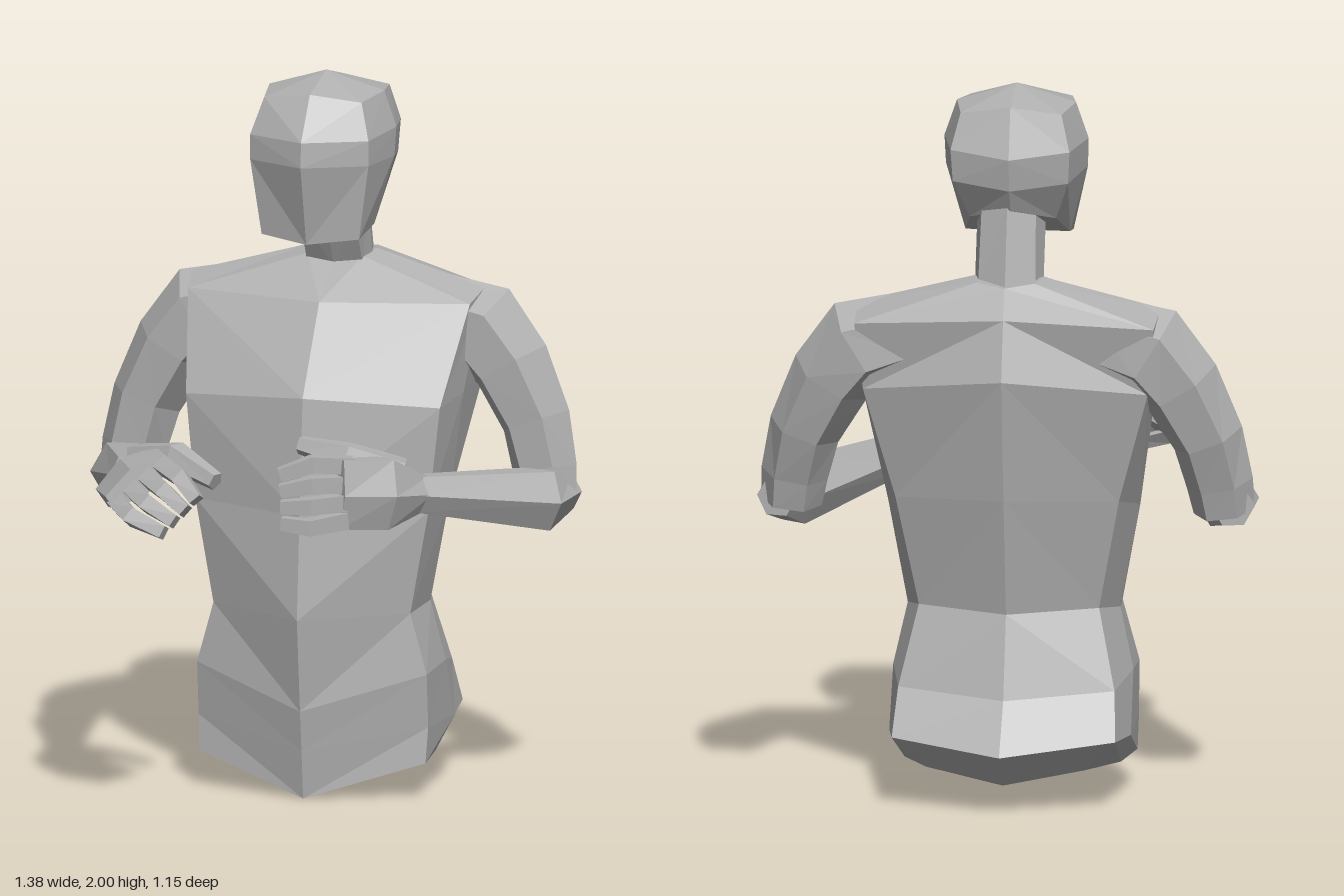
import * as THREE from 'three';

const V = (x, y, z) => new THREE.Vector3(x, y, z);
const gray = new THREE.MeshStandardMaterial({ color: 0xb0b0b0, flatShading: true });
gray.name = 'plain gray';

// Skin a stack of closed rings; both ends are closed with fans
function loft(name, rings, endCentres = []) {
  const pos = [];
  const tri = (...pts) => pts.forEach((p) => pos.push(p.x, p.y, p.z));
  const mean = (r) => r.reduce((s, p) => s.add(p), V(0, 0, 0)).divideScalar(r.length);
  const n = rings[0].length, first = rings[0], last = rings[rings.length - 1];
  const c0 = endCentres[0] || mean(first), c1 = endCentres[1] || mean(last);
  for (let j = 0; j < n; j++) {
    const k = (j + 1) % n;
    for (let i = 0; i < rings.length - 1; i++) {
      const [a, b, c, d] = [rings[i][j], rings[i][k], rings[i + 1][k], rings[i + 1][j]];
      // Diagonals mirror from one half to the other
      if (j < n / 2) { tri(a, b, c); tri(a, c, d); } else { tri(a, b, d); tri(b, c, d); }
    }
    tri(c0, first[k], first[j]);
    tri(c1, last[j], last[k]);
  }
  const g = new THREE.BufferGeometry();
  g.setAttribute('position', new THREE.Float32BufferAttribute(pos, 3));
  g.computeVertexNormals();
  const mesh = new THREE.Mesh(g, gray);
  mesh.name = name;
  return mesh;
}

// Half section (front middle to back middle) completed by mirroring
function fullRing(half) {
  const left = half.map((p) => V(...p));
  const right = half.slice(1, -1).reverse().map(([x, y, z]) => V(-x, y, z));
  return [...left, ...right];
}

// Tapered limb: path of [x, y, z, halfWidth, halfDepth], width lies along wide
function limb(name, path, wide, sides = 6) {
  const pts = path.map((p) => V(p[0], p[1], p[2]));
  const rings = path.map(([, , , w, h = w], i) => {
    const t = pts[Math.min(i + 1, pts.length - 1)].clone().sub(pts[Math.max(i - 1, 0)]).normalize();
    const u = wide.clone().addScaledVector(t, -wide.dot(t)).normalize();
    const v = t.clone().cross(u);
    return Array.from({ length: sides }, (_, k) => {
      const a = ((k + 0.5) / sides) * Math.PI * 2;
      return pts[i].clone().addScaledVector(u, w * Math.cos(a)).addScaledVector(v, h * Math.sin(a));
    });
  });
  return loft(name, rings);
}

// Four fingers blended between the index and the little finger
function fingers(index, little, wide) {
  const g = new THREE.Group();
  g.name = 'fingers';
  const radii = [0.033, 0.031, 0.025];
  for (let f = 0; f < 4; f++) {
    const path = index.map((p, i) => [...p.map((c, a) => c + (little[i][a] - c) * f / 3), radii[i]]);
    g.add(limb('finger', path, wide, 4));
  }
  return g;
}

// Shoulder to elbow
function upperArm(side) {
  const path = [
    [0.26, 1.32, -0.32, 0.13, 0.11], [0.405, 1.28, -0.325, 0.145, 0.13],
    [0.485, 1.18, -0.315, 0.135, 0.115], [0.56, 1.03, -0.30, 0.11, 0.10],
    [0.59, 0.90, -0.28, 0.085, 0.093], [0.60, 0.82, -0.265, 0.08, 0.085],
  ].map(([x, ...r]) => [side * x - 0.005, ...r]);
  return limb('upperArm', path, V(0, 0, 1));
}

export function createModel() {
  const model = new THREE.Group();
  model.name = 'bust';

  // Torso, from hips to neck base
  const torso = loft('torso', [
    [[0, 0, 0.04], [0.325, 0.10, -0.05], [0.30, 0.10, -0.23], [0.22, 0.11, -0.41], [0, 0.075, -0.475]],
    [[0, 0.135, 0.055], [0.33, 0.20, -0.06], [0.335, 0.19, -0.30], [0.31, 0.20, -0.46], [0, 0.17, -0.568]],
    [[0, 0.25, 0.07], [0.33, 0.35, -0.045], [0.333, 0.36, -0.22], [0.30, 0.33, -0.39], [0, 0.31, -0.465]],
    [[0, 0.51, 0.10], [0.283, 0.52, -0.045], [0.295, 0.53, -0.20], [0.25, 0.55, -0.325], [0, 0.54, -0.40]],
    [[0, 0.80, 0.075], [0.335, 0.81, -0.045], [0.35, 0.82, -0.20], [0.31, 0.86, -0.37], [0, 0.87, -0.46]],
    [[0, 1.125, 0.045], [0.365, 1.10, -0.055], [0.39, 1.12, -0.20], [0.395, 1.17, -0.415], [0, 1.215, -0.515]],
    [[0, 1.365, -0.115], [0.405, 1.365, -0.21], [0.42, 1.395, -0.31], [0.415, 1.36, -0.45], [0, 1.38, -0.47]],
    [[0, 1.455, -0.25], [0.08, 1.47, -0.27], [0.10, 1.48, -0.34], [0.08, 1.475, -0.41], [0, 1.465, -0.44]],
  ].map(fullRing), [V(0, 0.03, -0.225)]);

  // Neck, leaning forward under the skull
  const neck = loft('neck', [
    [[0, 1.43, -0.26], [0.08, 1.44, -0.27], [0.095, 1.45, -0.32], [0.08, 1.45, -0.38], [0, 1.45, -0.43]],
    [[0, 1.60, -0.18], [0.08, 1.60, -0.19], [0.095, 1.64, -0.26], [0.075, 1.68, -0.33], [0, 1.68, -0.37]],
  ].map(fullRing));

  // Head, from jaw to crown
  const head = loft('head', [
    [[0, 1.545, -0.02], [0.14, 1.56, -0.06], [0.145, 1.58, -0.19], [0.12, 1.64, -0.31], [0, 1.67, -0.37]],
    [[0, 1.77, 0.035], [0.17, 1.77, -0.05], [0.197, 1.77, -0.21], [0.16, 1.75, -0.37], [0, 1.73, -0.40]],
    [[0, 1.84, 0.03], [0.17, 1.84, -0.05], [0.20, 1.85, -0.22], [0.165, 1.84, -0.38], [0, 1.82, -0.415]],
    [[0, 1.96, -0.055], [0.14, 1.94, -0.085], [0.165, 1.95, -0.22], [0.14, 1.94, -0.355], [0, 1.96, -0.37]],
  ].map(fullRing), [V(0, 1.58, -0.18), V(0, 2, -0.215)]);

  torso.position.x = neck.position.x = -0.015;
  head.position.x = -0.024;
  model.add(torso, neck, head);

  // Left arm: forearm across the body, palm upright
  const leftArm = new THREE.Group();
  leftArm.name = 'leftArm';
  const up = V(0, 1, 0);
  leftArm.add(
    upperArm(1),
    limb('forearm', [[0.63, 0.84, -0.31, 0.06], [0.60, 0.83, -0.21, 0.095, 0.085], [0.325, 0.89, 0.10, 0.058, 0.048]], up),
    limb('palm', [[0.335, 0.89, 0.08, 0.055, 0.05], [0.265, 0.905, 0.19, 0.113, 0.062], [0.16, 0.915, 0.285, 0.112, 0.042]], up),
    limb('thumb', [[0.29, 0.94, 0.13, 0.06], [0.15, 0.995, 0.165, 0.045], [0.01, 1.02, 0.155, 0.027]], up, 5),
    fingers([[0.19, 0.99, 0.25], [0.09, 1.0, 0.305], [0.005, 0.97, 0.335]],
      [[0.18, 0.845, 0.295], [0.10, 0.835, 0.375], [0.025, 0.845, 0.385]], up),
  );

  // Right arm: reaching forward, palm turned down
  const rightArm = new THREE.Group();
  rightArm.name = 'rightArm';
  const across = V(-0.14, -0.10, 0.03);
  rightArm.add(
    upperArm(-1),
    limb('forearm', [[-0.635, 0.84, -0.31, 0.06], [-0.605, 0.84, -0.20, 0.09, 0.09], [-0.46, 0.925, 0.24, 0.055, 0.048]], up),
    limb('palm', [[-0.465, 0.92, 0.21, 0.052, 0.048], [-0.42, 0.94, 0.33, 0.118, 0.06], [-0.36, 0.955, 0.465, 0.115, 0.042]], across),
    limb('thumb', [[-0.42, 0.965, 0.26, 0.06], [-0.295, 1.0, 0.325, 0.046], [-0.165, 0.95, 0.38, 0.027]], up, 5),
    fingers([[-0.30, 1.0, 0.44], [-0.23, 0.98, 0.50], [-0.175, 0.925, 0.53]],
      [[-0.42, 0.895, 0.47], [-0.36, 0.87, 0.54], [-0.26, 0.835, 0.56]], across),
  );

  model.add(leftArm, rightArm);
  return model;
}
